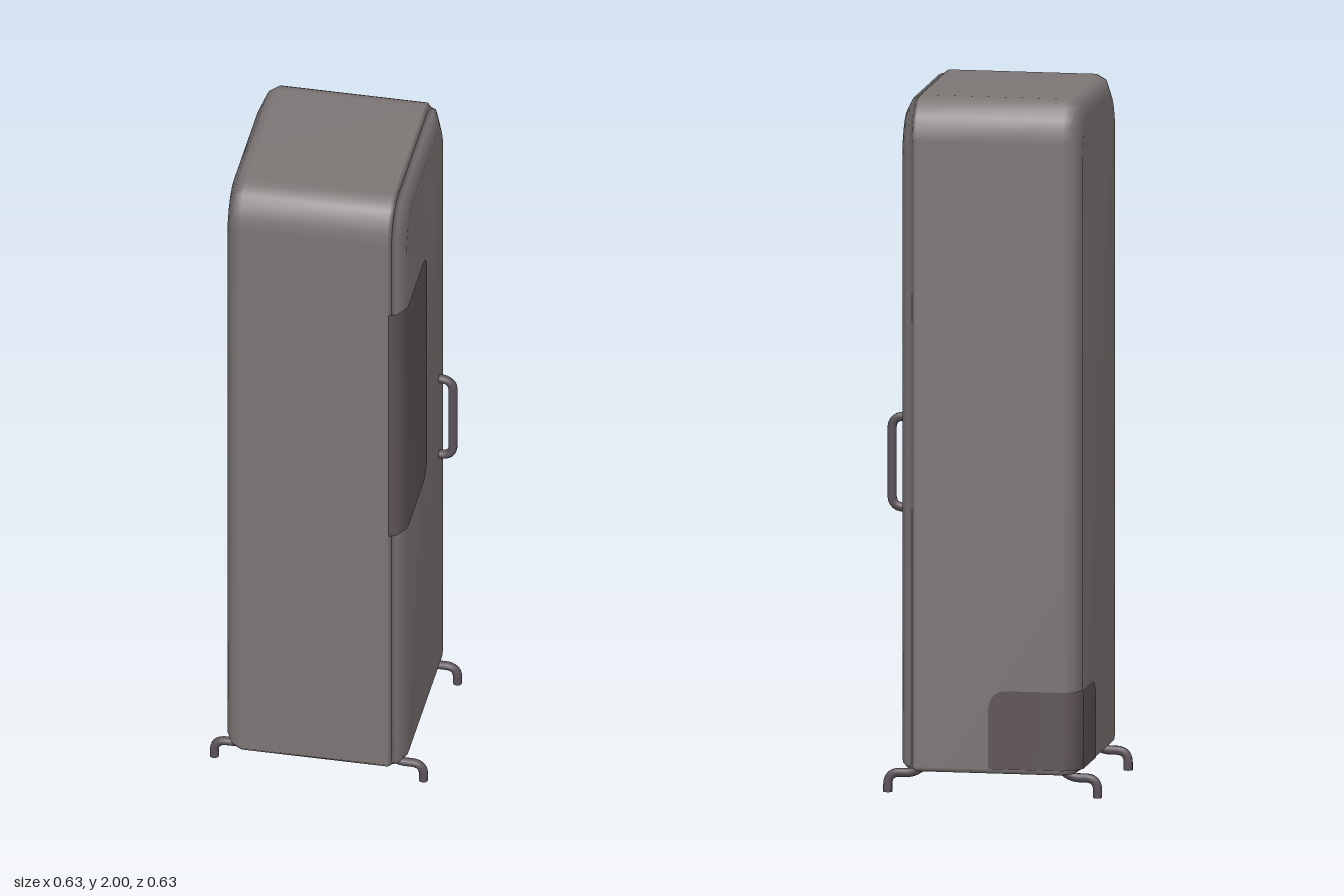
import * as THREE from 'three';

const enamel = new THREE.MeshStandardMaterial({ color: 0x7c7675 });
enamel.name = 'grey enamel';
const dark = new THREE.MeshStandardMaterial({ color: 0x5c5359, side: THREE.DoubleSide });
dark.name = 'dark panel';
const metal = new THREE.MeshStandardMaterial({ color: 0x5a5257 });
metal.name = 'dark metal';

function add(group, name, geometry, material) {
  const mesh = new THREE.Mesh(geometry, material);
  mesh.name = name;
  group.add(mesh);
  return mesh;
}

// Side outline (z, y): small bevel at the foot, large rounding at the top
function ring(zHalf, bottom, top) {
  const half = [[zHalf - 0.015, bottom], [zHalf, bottom + 0.015]];
  for (let i = 0; i <= 5; i++) {
    const a = (i / 5) * Math.PI / 2;
    half.push([zHalf - 0.09 * (1 - Math.cos(a)), top - 0.12 * (1 - Math.sin(a))]);
  }
  return [...half, ...half.slice().reverse().map(([z, y]) => [-z, y])];
}

// Skin the outlines at stations [x, zHalf, bottom, top] and close both ends
function shell(stations) {
  const pos = [], index = [];
  const n = ring(1, 0, 1).length;
  for (const [x, zHalf, bottom, top] of stations) {
    for (const [z, y] of ring(zHalf, bottom, top)) pos.push(x, y, z);
  }
  const last = (stations.length - 1) * n;
  const c0 = stations.length * n, c1 = c0 + 1;
  pos.push(stations[0][0], 1, 0, stations[stations.length - 1][0], 1, 0);
  for (let j = 0; j < n; j++) {
    const k = (j + 1) % n;
    for (let i = 0; i < last; i += n) {
      index.push(i + j, i + n + j, i + n + k, i + j, i + n + k, i + k);
    }
    index.push(c0, j, k, c1, last + k, last + j);
  }
  const g = new THREE.BufferGeometry();
  g.setAttribute('position', new THREE.Float32BufferAttribute(pos, 3));
  g.setIndex(index);
  g.computeVertexNormals();
  return g;
}

// Thin upright skin along columns [x, z, cut at the bottom, cut at the top]
function patch(columns, y0, y1) {
  const pos = [], index = [];
  columns.forEach(([x, z, low = 0, high = 0], i) => {
    pos.push(x, y0 + low, z, x, y1 - high, z);
    if (i) {
      const a = 2 * i - 2;
      index.push(a, a + 2, a + 3, a, a + 3, a + 1);
    }
  });
  const g = new THREE.BufferGeometry();
  g.setAttribute('position', new THREE.Float32BufferAttribute(pos, 3));
  g.setIndex(index);
  g.computeVertexNormals();
  return g;
}

// Rounded corner as [distance from the end, cut] pairs
function corner(r) {
  return Array.from({ length: 6 }, (_, i) => {
    const a = (i / 5) * Math.PI / 2;
    return [r * (1 - Math.cos(a)), r * (1 - Math.sin(a))];
  });
}

// Round bar following straight runs with curved bends, with closed ends
function bar(points, radius) {
  const v = points.map((p) => new THREE.Vector3(...p));
  const path = new THREE.CurvePath();
  let from = v[0];
  for (let i = 1; i < v.length - 1; i++) {
    const r = Math.min(0.035, v[i].distanceTo(v[i - 1]) * 0.8, v[i].distanceTo(v[i + 1]) * 0.8);
    const a = v[i].clone().add(v[i - 1].clone().sub(v[i]).setLength(r));
    const b = v[i].clone().add(v[i + 1].clone().sub(v[i]).setLength(r));
    path.add(new THREE.LineCurve3(from, a));
    path.add(new THREE.QuadraticBezierCurve3(a, v[i], b));
    from = b;
  }
  path.add(new THREE.LineCurve3(from, v[v.length - 1]));
  return new THREE.TubeGeometry(path, 40, radius, 10);
}

export function createModel() {
  const model = new THREE.Group();
  model.name = 'cabinet';

  // Cabinet shell and the door closing its left side
  add(model, 'body', shell([
    [-0.261, 0.26, 0.085, 1.95], [-0.241, 0.295, 0.073, 1.988], [-0.213, 0.311, 0.07, 2],
    [0.21, 0.311, 0.07, 2], [0.222, 0.302, 0.075, 1.992],
  ]), enamel);
  add(model, 'door', shell([
    [0.218, 0.303, 0.075, 1.993], [0.235, 0.3, 0.076, 1.988], [0.257, 0.26, 0.085, 1.95],
  ]), enamel);

  // Door window, wrapping round the front edge
  add(model, 'window', patch([
    ...corner(0.06).map(([d, cut]) => [0.26, -0.018 + d, cut, cut]),
    [0.26, 0.262], [0.238, 0.303], [0.214, 0.314],
  ], 0.88, 1.645), dark);

  // Panel wrapping round the lower back corner
  const bend = corner(0.05);
  add(model, 'rearPanel', patch([
    ...bend.map(([d, cut]) => [-d, -0.314, 0, cut]),
    [-0.214, -0.314], [-0.243, -0.298], [-0.264, -0.261],
    ...bend.slice().reverse().map(([d, cut]) => [-0.264, -0.06 - d, 0, cut]),
  ], 0.085, 0.31), dark);

  // Door handle
  add(model, 'handle', bar([
    [0.245, 1.073, -0.208], [0.296, 1.073, -0.208],
    [0.296, 0.812, -0.208], [0.245, 0.812, -0.208],
  ], 0.013), metal);

  // Four bent legs with flat feet
  for (const sx of [-1, 1]) {
    for (const sz of [-1, 1]) {
      const leg = new THREE.Group();
      leg.name = (sz > 0 ? 'front' : 'back') + (sx > 0 ? 'Left' : 'Right') + 'Leg';
      const z = 0.243 * sz;
      add(leg, 'legBar', bar([
        [0.2 * sx, 0.078, z], [0.225 * sx, 0.056, z], [0.302 * sx, 0.056, z], [0.302 * sx, 0.001, z],
      ], 0.013), metal);
      const foot = add(leg, 'footEnd', new THREE.CylinderGeometry(0.013, 0.013, 0.004, 10), metal);
      foot.position.set(0.302 * sx, 0.002, z);
      model.add(leg);
    }
  }
  return model;
}
